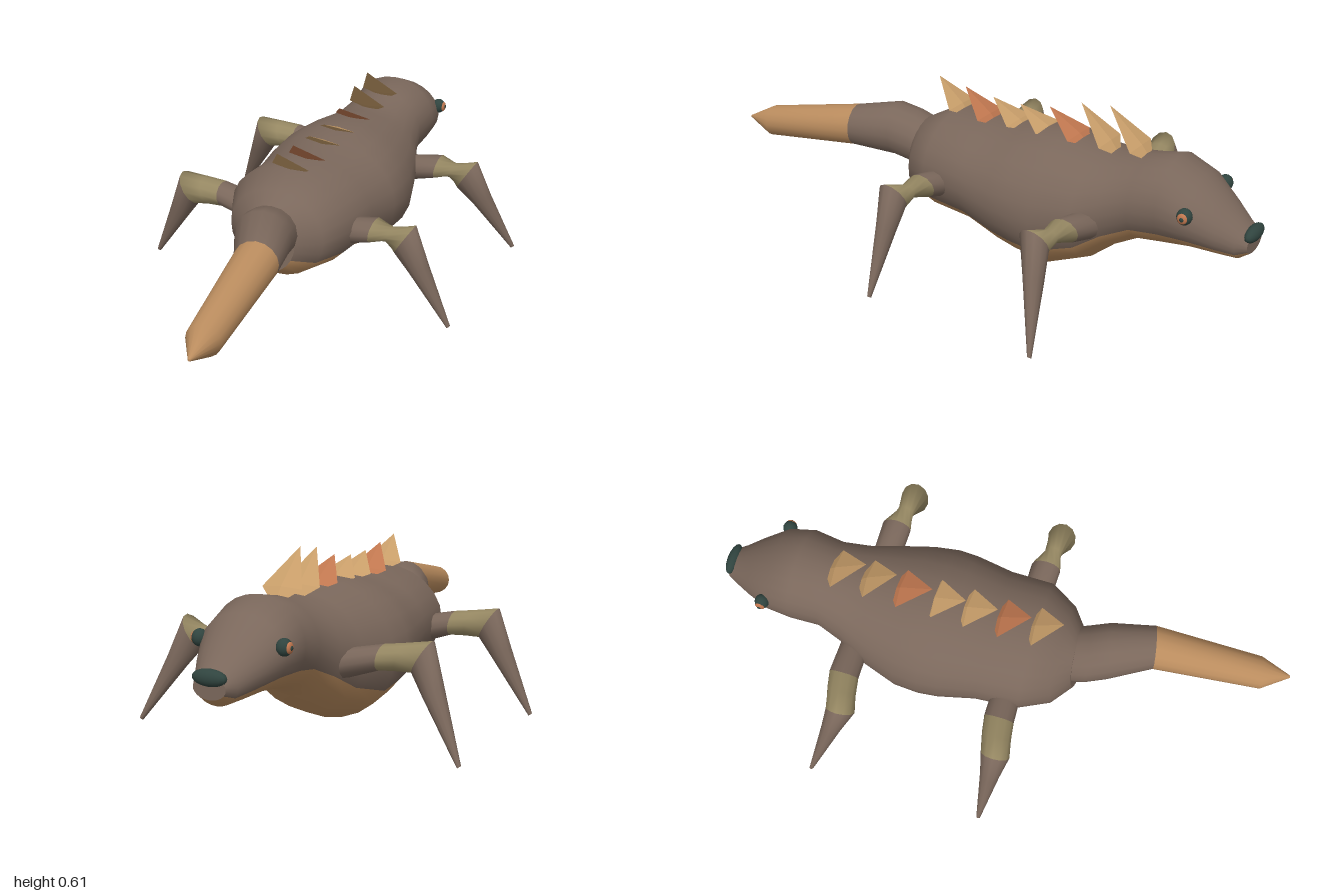
import * as THREE from 'three';
import { ConvexGeometry } from 'three/addons/geometries/ConvexGeometry.js';

const V = (x, y, z) => new THREE.Vector3(x, y, z);
const mat = (name, color) => {
  const m = new THREE.MeshStandardMaterial({ color });
  m.name = name;
  return m;
};

// Cross-section: centre c plus half-axes u and v, optionally twisted
function ring(c, u, v, n, twist = 0) {
  return Array.from({ length: n }, (_, j) => {
    const a = (j / n) * Math.PI * 2 + twist;
    return c.clone().addScaledVector(u, Math.cos(a)).addScaledVector(v, Math.sin(a));
  });
}

// Capped skin over rings; pick(i, j) chooses the material of each strip cell
function loft(name, rings, mats, pick) {
  const n = rings[0].length, pos = [], lists = mats.map(() => []);
  const push = p => pos.push(p.x, p.y, p.z);
  rings.forEach(r => r.forEach(push));
  for (let i = 0; i < rings.length - 1; i++) {
    for (let j = 0; j < n; j++) {
      const k = (j + 1) % n, a = i * n + j, b = a + n, c = i * n + k, d = c + n;
      lists[pick(i, j)].push(a, b, c, b, d, c);
    }
  }
  [0, rings.length - 1].forEach((e, end) => {
    const base = pos.length / 3, mid = V(0, 0, 0);
    rings[e].forEach(p => { push(p); mid.addScaledVector(p, 1 / n); });
    push(mid);
    for (let j = 0; j < n; j++) {
      const a = base + j, b = base + (j + 1) % n;
      lists[pick(Math.max(0, e - 1), 0)].push(base + n, end ? b : a, end ? a : b);
    }
  });
  const g = new THREE.BufferGeometry();
  g.setAttribute('position', new THREE.Float32BufferAttribute(pos, 3));
  g.setIndex(lists.flat());
  let start = 0;
  lists.forEach((l, m) => { g.addGroup(start, l.length, m); start += l.length; });
  g.computeVertexNormals();
  const mesh = new THREE.Mesh(g, mats);
  mesh.name = name;
  return mesh;
}

export function createModel() {
  const model = new THREE.Group();
  model.name = 'spikyLizard';
  const hide = mat('brown hide', 0x7a675b);
  const tan = mat('tan underside', 0xba8c5e);
  const olive = mat('olive leg band', 0x958762);
  const pale = mat('pale spike', 0xc79d69);
  const rust = mat('rust spike', 0xc0774f);
  const dark = mat('dark teal', 0x30443f);

  const ball = (name, m, p, s) => {
    const b = new THREE.Mesh(new THREE.SphereGeometry(1, 16, 12), m);
    b.name = name;
    b.position.copy(p);
    b.scale.copy(s);
    model.add(b);
  };

  // Body and head: z, half width, top, bottom, from rump to snout
  const sections = [
    [0.285, 0.1, 0.40, 0.17], [0.23, 0.175, 0.432, 0.135], [0.13, 0.228, 0.475, 0.118],
    [-0.02, 0.235, 0.462, 0.107], [-0.15, 0.26, 0.478, 0.066], [-0.22, 0.265, 0.487, 0.048],
    [-0.31, 0.255, 0.488, 0.027], [-0.44, 0.215, 0.468, 0.083], [-0.52, 0.178, 0.47, 0.15],
    [-0.61, 0.152, 0.487, 0.2], [-0.71, 0.16, 0.508, 0.217], [-0.8, 0.148, 0.468, 0.23],
    [-0.89, 0.105, 0.395, 0.226], [-0.945, 0.074, 0.348, 0.224], [-0.98, 0.055, 0.318, 0.25],
  ];
  const bodyRings = sections.map(([z, w, top, bot], i) =>
    ring(V(0, (top + bot) / 2, z), V(w, 0, 0), V(0, (top - bot) / 2, i < 2 ? -0.014 : 0), 24));
  model.add(loft('body', bodyRings, [hide, tan], (i, j) => (j >= 14 && j < 22 ? 1 : 0)));

  // Tail: x, y, z, radius, sweeping to one side
  const tailRings = [
    [0, 0.3, 0.25, 0.092], [0.012, 0.322, 0.31, 0.096], [0.035, 0.345, 0.38, 0.095],
    [0.093, 0.343, 0.525, 0.073], [0.132, 0.281, 0.9, 0.055], [0.147, 0.278, 1.0, 0.004],
  ].map(([x, y, z, r]) => ring(V(x, y, z), V(r, 0, -r * 0.2), V(0, -r, 0), 16));
  model.add(loft('tail', tailRings, [hide, tan], i => (i < 3 ? 0 : 1)));

  // Legs: shoulder, olive band, mitred knee, tapering shin
  for (const s of [1, -1]) {
    for (const [name, z0, zKnee, zFoot] of [['frontLeg', -0.475, -0.44, -0.53], ['hindLeg', 0.08, 0.108, 0.093]]) {
      const tw = s > 0 ? 1.95 : 0;
      const r = (x, y, z, vx, vy, rz, t = 0) =>
        ring(V(s * x, y, z), V(0, 0, s * rz), V(s * vx, vy, 0), 12, t);
      const shin = t => zKnee + (zFoot - zKnee) * t;
      const rings = [
        r(0.17, 0.265, z0, 0, 0.048, 0.05),
        r(0.29, 0.296, z0 + 0.005, 0.006, 0.042, 0.052),
        r(0.35, 0.3, (z0 + zKnee) / 2, 0.016, 0.046, 0.051, tw / 2),
        r(0.413, 0.303, zKnee, 0.032, 0.053, 0.05, tw),
        r(0.462, 0.205, shin(0.33), 0.033, 0.018, 0.034, tw),
        r(0.573, 0.005, zFoot, 0.006, 0.004, 0.007, tw),
      ];
      // The twisted band narrows at its middle
      if (s > 0) {
        const mid = V(0.352, 0.3, (z0 + zKnee) / 2);
        rings[2].forEach(p => p.lerp(mid, 0.42));
      }
      model.add(loft((s > 0 ? 'left ' : 'right ') + name, rings, [hide, olive], i => (i === 1 || i === 2 ? 1 : 0)));
    }
  }

  // Back spikes: thin folded kites leaning rearward; base z, base y, tip z, tip y
  [
    [-0.6, 0.475, -0.455, 0.615], [-0.485, 0.465, -0.35, 0.6], [-0.37, 0.475, -0.23, 0.558],
    [-0.245, 0.478, -0.115, 0.54], [-0.13, 0.472, -0.005, 0.54], [-0.01, 0.457, 0.11, 0.552],
    [0.11, 0.465, 0.22, 0.567],
  ].forEach(([bz, by, tz, ty], i) => {
    const base = V(0, by - 0.02, bz - 0.02), tip = V(0, ty, tz);
    const at = (t, x, up = 0) => base.clone().lerp(tip, t).add(V(x, up, -up));
    const g = new ConvexGeometry([base, tip, at(0.3, 0.07), at(0.3, -0.07), at(0.3, 0, 0.006), at(0.3, 0, -0.006)]);
    const spike = new THREE.Mesh(g, i === 2 || i === 5 ? rust : pale);
    spike.name = 'backSpike';
    model.add(spike);
  });

  // Nose and eyes
  ball('nose', dark, V(0, 0.315, -0.977), V(0.058, 0.026, 0.022));
  for (const s of [1, -1]) {
    ball('eye', dark, V(s * 0.144, 0.382, -0.807), V(0.025, 0.027, 0.025));
    ball('iris', rust, V(s * 0.162, 0.382, -0.808), V(0.009, 0.018, 0.017));
    ball('pupil', dark, V(s * 0.168, 0.382, -0.809), V(0.005, 0.008, 0.008));
  }
  return model;
}
